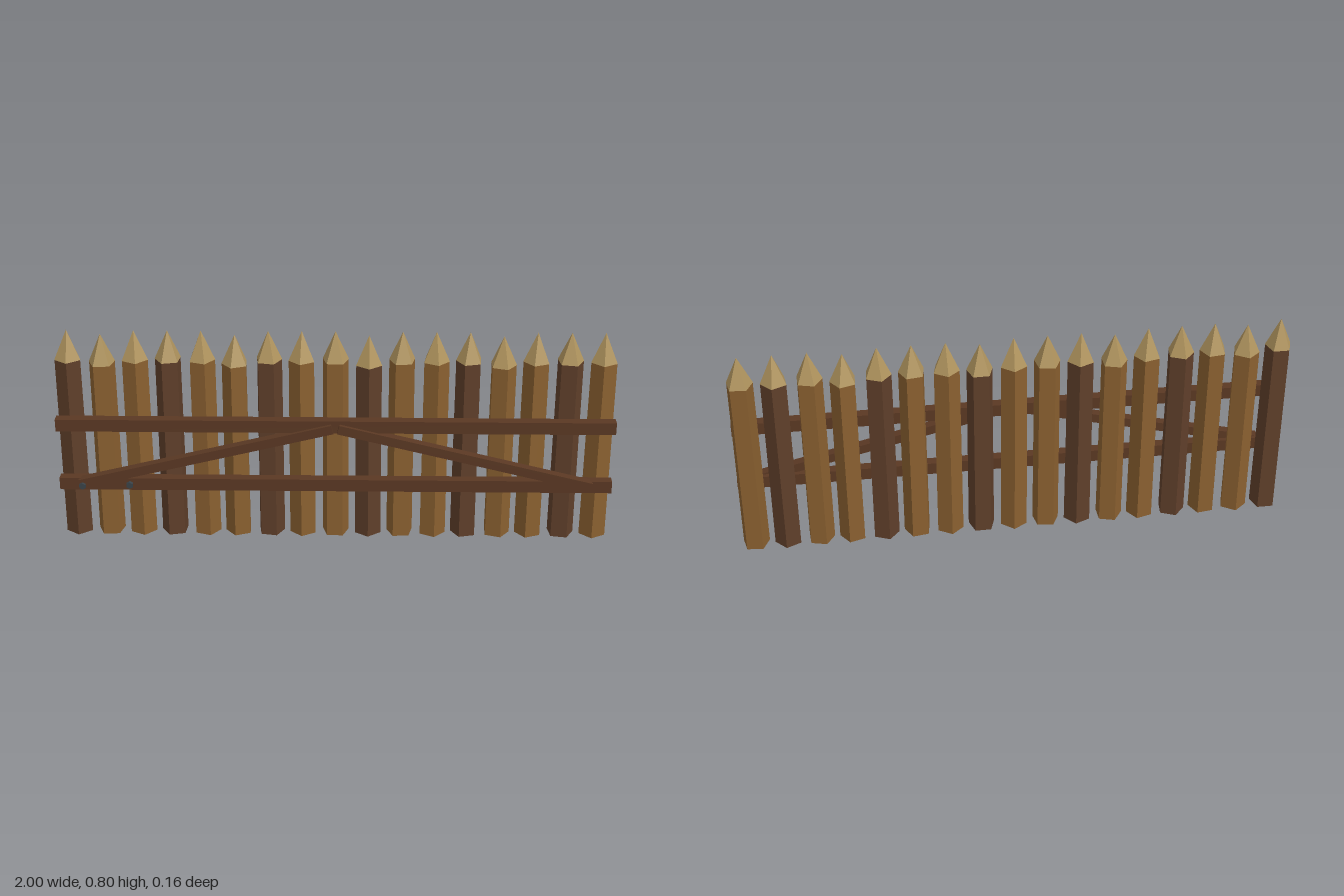
import * as THREE from 'three';

const mat = (color) => new THREE.MeshStandardMaterial({ color, flatShading: true });

export function createModel() {
  const fence = new THREE.Group();
  fence.name = 'palisadeFence';
  const lightWood = mat(0x8a6030), darkWood = mat(0x5f3f2a), cutWood = mat(0xb0945e);
  const railWood = mat(0x5a3823), iron = mat(0x3a4248);

  const add = (parent, name, geometry, material, x, y, z) => {
    const mesh = new THREE.Mesh(geometry, material);
    mesh.name = name;
    mesh.position.set(x, y, z);
    parent.add(mesh);
    return mesh;
  };

  // Seventeen five-sided stakes with sharpened tips, each turned differently
  const count = 17, spacing = 0.119, tipHeight = 0.11;
  for (let i = 0; i < count; i++) {
    const height = i % 4 === 1 ? 0.675 : 0.69;
    const stake = new THREE.Group();
    stake.name = `stake${i + 1}`;
    stake.position.set((i - (count - 1) / 2) * spacing, 0, -0.027);
    stake.rotation.y = i * 0.7;
    add(stake, 'post', new THREE.CylinderGeometry(0.048, 0.05, height, 5),
      i % 3 === 0 ? darkWood : lightWood, 0, height / 2, 0);
    add(stake, 'sharpenedTip', new THREE.ConeGeometry(0.049, tipHeight, 5),
      cutWood, 0, height + tipHeight / 2, 0);
    fence.add(stake);
  }

  // Horizontal rails across the front
  add(fence, 'lowerRail', new THREE.BoxGeometry(2, 0.046, 0.036), railWood, 0, 0.232, 0.042);
  add(fence, 'upperRail', new THREE.BoxGeometry(2, 0.046, 0.036), railWood, 0, 0.466, 0.042);

  // Diagonal braces rising to the middle
  const rise = 0.225, run = 0.915;
  for (const side of [-1, 1]) {
    const brace = add(fence, side < 0 ? 'rightBrace' : 'leftBrace',
      new THREE.BoxGeometry(Math.hypot(rise, run), 0.034, 0.033), railWood,
      side * 0.468, 0.349, 0.0565);
    brace.rotation.z = -side * Math.atan2(rise, run);
  }

  // Iron nail heads on the lower rail
  for (const [x, z] of [[-0.915, 0.071], [-0.745, 0.062]]) {
    const nail = add(fence, 'nail', new THREE.CylinderGeometry(0.013, 0.013, 0.022, 6), iron, x, 0.232, z);
    nail.rotation.x = Math.PI / 2;
  }
  return fence;
}
